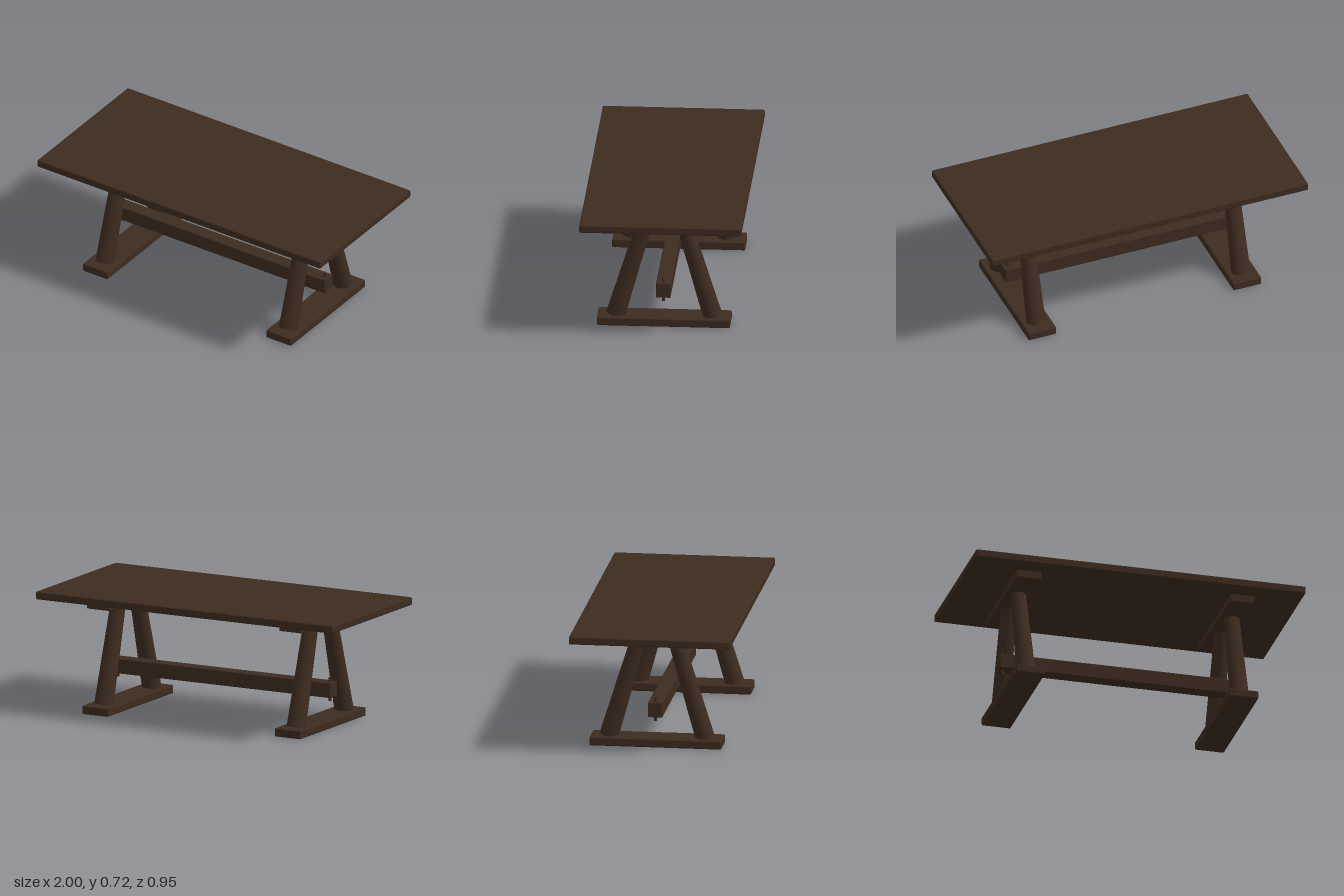
import * as THREE from 'three';
import { RoundedBoxGeometry } from 'three/addons/geometries/RoundedBoxGeometry.js';

export function createModel() {
  const model = new THREE.Group();
  model.name = 'trestleTable';
  const darkWood = new THREE.MeshStandardMaterial({ color: 0x3d2b1f });
  darkWood.name = 'darkWood';

  const add = (name, geometry, parent, x, y, z) => {
    const mesh = new THREE.Mesh(geometry, darkWood);
    mesh.name = name;
    mesh.position.set(x, y, z);
    parent.add(mesh);
    return mesh;
  };
  // Board with softly rounded edges
  const board = (w, h, d, r = 0.008) => new RoundedBoxGeometry(w, h, d, 3, r);

  // Tapered round leg running between two points
  const addLeg = (parent, name, bottom, top) => {
    const dir = top.clone().sub(bottom);
    const leg = add(name, new THREE.CylinderGeometry(0.045, 0.057, dir.length(), 32), parent, 0, 0, 0);
    leg.position.copy(bottom).add(top).multiplyScalar(0.5);
    leg.quaternion.setFromUnitVectors(new THREE.Vector3(0, 1, 0), dir.normalize());
  };

  add('tableTop', board(2, 0.047, 0.952), model, 0, 0.7, 0);

  // Trestles: foot, two leaning legs and a cleat under the top
  for (const side of [-1, 1]) {
    const trestle = new THREE.Group();
    trestle.name = side > 0 ? 'leftTrestle' : 'rightTrestle';
    trestle.position.x = side * 0.648;
    model.add(trestle);
    add('foot', board(0.176, 0.051, 0.782), trestle, 0, 0.0265, 0);
    add('cleat', board(0.15, 0.049, 0.716, 0.006), trestle, 0, 0.653, 0);
    for (const s of [-1, 1]) {
      addLeg(trestle, s > 0 ? 'frontLeg' : 'backLeg',
        new THREE.Vector3(0, 0.047, s * 0.285), new THREE.Vector3(0, 0.65, s * 0.106));
    }
    // Locking peg through the end of the stretcher
    add('peg', new THREE.CylinderGeometry(0.009, 0.009, 0.142, 16), model, side * 0.715, 0.23, 0);
  }

  add('stretcher', board(1.482, 0.09, 0.086, 0.006), model, 0, 0.23, 0);
  return model;
}
